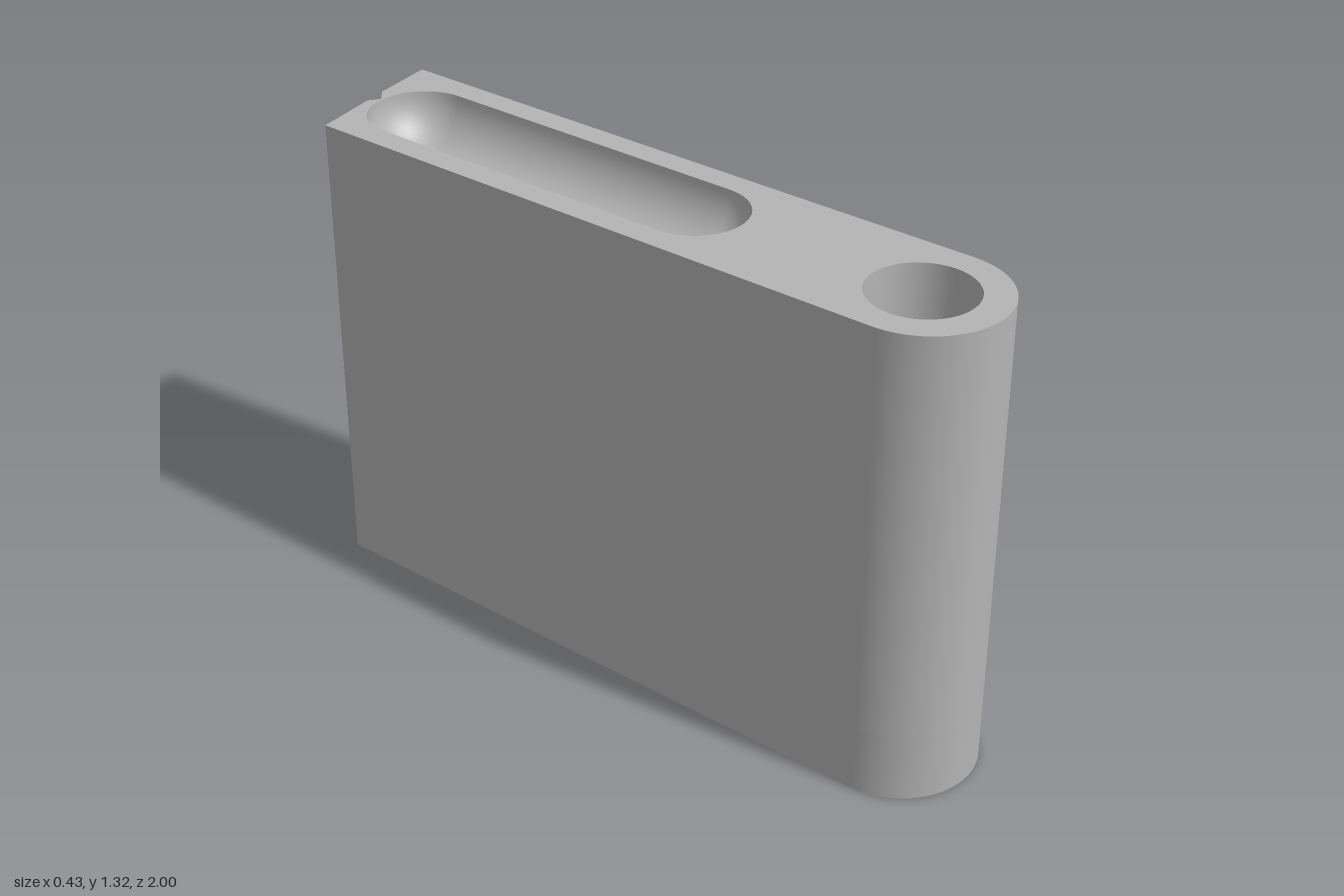
import * as THREE from 'three';
import { toCreasedNormals } from 'three/addons/utils/BufferGeometryUtils.js';

const HEIGHT = 1.32, HALF = 0.214, POCKET = 0.19, HOLE_Z = 0.782, SLOT_R = 0.143;

// points [x, z] on an arc
function arc(r, z, from, to, n) {
  return Array.from({ length: n + 1 }, (_, i) => {
    const t = from + (to - from) * i / n;
    return [r * Math.cos(t), z + r * Math.sin(t)];
  });
}

// slab outline with a given notch in its slanted back edge
const outline = notch => [
  ...arc(HALF, 1 - HALF, 0, Math.PI, 40), [-HALF, -0.94], ...notch, [HALF, -1],
];
const notchOutline = outline([[-0.03, -0.968], [0, -0.947], [0.037, -0.979]]);
const pocketOutline = outline([[-0.03, -0.968], [0, -0.947], [0.055, -0.947], [0.055, -0.982]]);
const hole = arc(0.139, HOLE_Z, 0, Math.PI * 2, 48).slice(0, -1);
const slot = r => [...arc(r, 0.115, 0, Math.PI, 24), ...arc(r, -0.8, Math.PI, Math.PI * 2, 24)];

// surface through rings { pts, y }; faces outward when the lower ring comes first
function skin(rings) {
  const n = rings[0].pts.length, pos = [], idx = [];
  rings.forEach(({ pts, y }) => pts.forEach(([x, z]) => pos.push(x, y, z)));
  for (let k = 0; k < rings.length - 1; k++) {
    for (let i = 0; i < n; i++) {
      const a = k * n + i, b = k * n + (i + 1) % n;
      idx.push(a, a + n, b, b, a + n, b + n);
    }
  }
  const g = new THREE.BufferGeometry();
  g.setAttribute('position', new THREE.Float32BufferAttribute(pos, 3));
  g.setIndex(idx);
  return toCreasedNormals(g, 0.5);
}

// flat horizontal face with holes, facing up or down
function cap(pts, holes, y, up) {
  const v = list => list.map(p => new THREE.Vector2(...p));
  const shape = new THREE.Shape(v(pts));
  shape.holes = holes.map(h => new THREE.Path(v(h)));
  const g = new THREE.ShapeGeometry(shape).rotateX(Math.PI / 2).translate(0, y, 0);
  if (up) {
    g.index.array.reverse();
    g.computeVertexNormals();
  }
  return g;
}

export function createModel() {
  const group = new THREE.Group();
  const grey = new THREE.MeshStandardMaterial({ color: 0xb4b4b4 });
  grey.name = 'grey';
  const add = (name, geometry) => {
    const mesh = new THREE.Mesh(geometry, grey);
    mesh.name = name;
    group.add(mesh);
  };

  // outer walls, with a wider pocket at the foot of the back notch
  add('lowerWall', skin([{ pts: pocketOutline, y: 0 }, { pts: pocketOutline, y: POCKET }]));
  add('upperWall', skin([{ pts: notchOutline, y: POCKET }, { pts: notchOutline, y: HEIGHT }]));
  add('pocketCeiling', cap([[0, -0.947], [0.055, -0.947], [0.055, -0.982], [0.037, -0.979]], [], POCKET, false));

  // end faces and the bore through them
  add('topFace', cap(notchOutline, [hole, slot(SLOT_R)], HEIGHT, true));
  add('bottomFace', cap(pocketOutline, [hole, slot(SLOT_R)], 0, false));
  add('bore', skin([{ pts: hole, y: HEIGHT }, { pts: hole, y: 0 }]));

  // round-bottomed slots sunk into both ends
  const steps = Array.from({ length: 15 }, (_, i) => i / 14 * Math.PI / 2);
  add('topSlot', skin(steps.map(t => (
    { pts: slot(SLOT_R * Math.cos(t)), y: HEIGHT - SLOT_R * Math.sin(t) }))));
  add('bottomSlot', skin(steps.map(t => (
    { pts: slot(SLOT_R * Math.sin(t)), y: SLOT_R * Math.cos(t) }))));

  return group;
}
